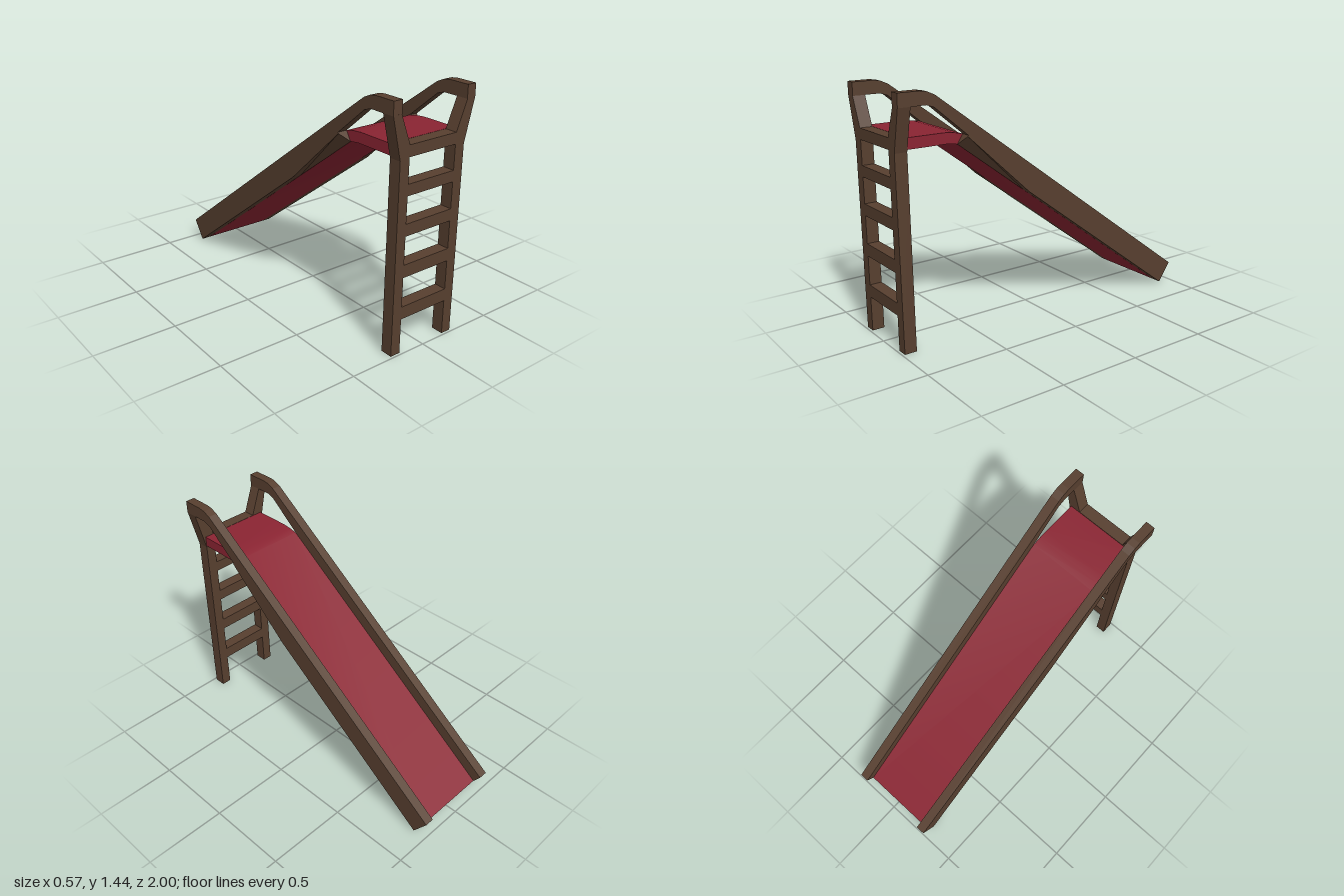
import * as THREE from 'three';
import { toCreasedNormals } from 'three/addons/utils/BufferGeometryUtils.js';

const wood = new THREE.MeshStandardMaterial({ color: 0x573f2f });
wood.name = 'brown wood';
const red = new THREE.MeshStandardMaterial({ color: 0x8a2432 });
red.name = 'red slide';

function extrude(points, depth) {
  const shape = new THREE.Shape(points.map(([a, b]) => new THREE.Vector2(a, b)));
  return new THREE.ExtrudeGeometry(shape, { depth, bevelEnabled: false });
}

// Side profile given as [z, y], extruded across x from x0 to x1
function sideProfile(points, x0, x1) {
  return extrude(points, x1 - x0).rotateY(-Math.PI / 2).translate(x1, 0, 0);
}

// Front profile given as [x, y], extruded in z and leaned slightly forward with height
function ladderPiece(points) {
  const geo = extrude(points, 0.074);
  const p = geo.attributes.position;
  for (let i = 0; i < p.count; i++) {
    p.setZ(i, p.getZ(i) + 0.911 + 0.011 * p.getY(i));
  }
  geo.computeVertexNormals();
  return geo;
}

// Copy of a geometry reflected in x, with triangle order restored
function mirrored(source) {
  const geo = source.index ? source.toNonIndexed() : source.clone();
  const p = geo.attributes.position;
  const a = new THREE.Vector3(), b = new THREE.Vector3();
  p.applyMatrix4(new THREE.Matrix4().makeScale(-1, 1, 1));
  for (let i = 0; i < p.count; i += 3) {
    a.fromBufferAttribute(p, i + 1);
    b.fromBufferAttribute(p, i + 2);
    p.setXYZ(i + 1, b.x, b.y, b.z);
    p.setXYZ(i + 2, a.x, a.y, a.z);
  }
  geo.computeVertexNormals();
  return geo;
}

export function createModel() {
  const model = new THREE.Group();
  model.name = 'playgroundSlide';

  const add = (name, geo, material) => {
    const mesh = new THREE.Mesh(geo, material);
    mesh.name = name;
    model.add(mesh);
  };
  const addPair = (name, geo) => {
    add(name + 'Left', geo, wood);
    add(name + 'Right', mirrored(geo), wood);
  };

  // Side rails: handle on top, running down into the deep side board
  const rail = sideProfile([
    [1.0, 1.443], [0.87, 1.443], [0.83, 1.437], [0.785, 1.417],
    [-1.0, 0.118], [-0.915, 0], [0.18, 0.805], [0.62, 1.128],
    [0.586, 1.182], [0.79, 1.352], [0.835, 1.367], [0.926, 1.367], [1.0, 1.367],
  ], 0.227, 0.285);
  // Outer lower corner at the start of the board is cut away
  const p = rail.attributes.position;
  for (let i = 0; i < p.count; i++) {
    const corner = Math.abs(p.getZ(i) - 0.62) < 0.001 && Math.abs(p.getY(i) - 1.128) < 0.001;
    if (corner && p.getX(i) > 0.25) p.setXYZ(i, 0.285, 1.176, 0.59);
  }
  rail.computeVertexNormals();
  addPair('sideRail', rail);

  // Ladder posts, flaring outward to meet the handles
  addPair('ladderPost', ladderPiece([
    [0.163, 0], [0.226, 0], [0.226, 1.125], [0.285, 1.37], [0.23, 1.37], [0.163, 1.2],
  ]));

  // Ladder rungs
  const rungs = [[0.21, 0.285], [0.46, 0.535], [0.7, 0.77], [0.925, 0.99], [1.135, 1.2]];
  rungs.forEach(([y0, y1], i) => {
    add('rung' + (i + 1), ladderPiece([[-0.163, y0], [0.163, y0], [0.163, y1], [-0.163, y1]]), wood);
  });

  // Platform and chute in one bent slab
  const chute = sideProfile([
    [0.922, 1.2], [0.7, 1.2], [0.64, 1.194], [0.586, 1.182], [-0.957, 0.06],
    [-0.913, 0.001], [0.62, 1.128], [0.68, 1.137], [0.922, 1.137],
  ], -0.227, 0.227);
  add('chute', toCreasedNormals(chute, 0.6), red);

  return model;
}
